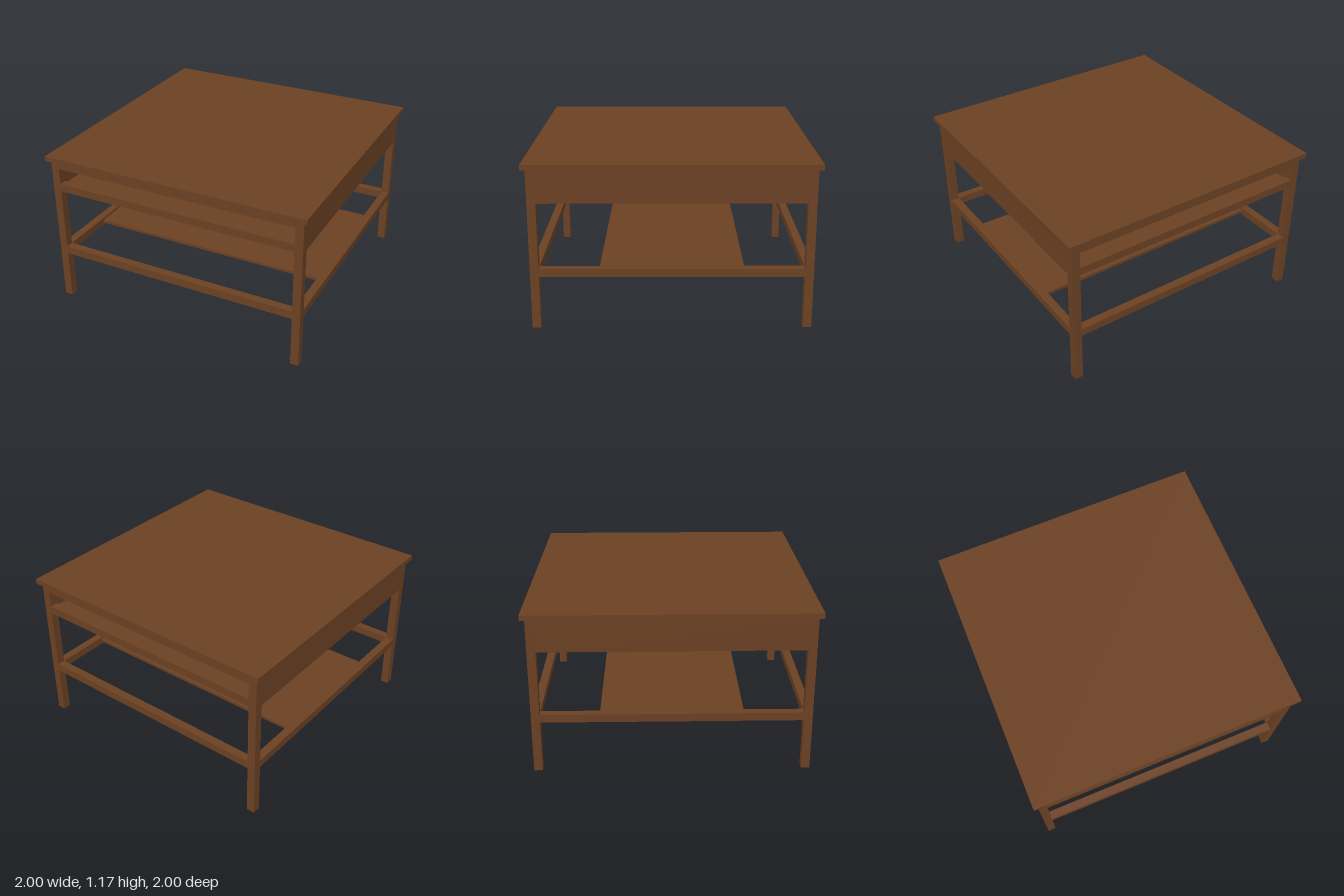
import * as THREE from 'three';

export function createModel() {
  const table = new THREE.Group();
  table.name = 'coffeeTable';
  const wood = new THREE.MeshStandardMaterial({ color: 0x6b4023 });

  // Box given by its size, its centre in x and z, and its lower edge
  const board = (name, w, h, d, x, bottom, z) => {
    const mesh = new THREE.Mesh(new THREE.BoxGeometry(w, h, d), wood);
    mesh.name = name;
    mesh.position.set(x, bottom + h / 2, z);
    table.add(mesh);
  };

  const leg = 0.06;      // leg and rail thickness
  const off = 0.94;      // leg centre line
  const span = 1.82;     // clear distance between legs
  const topY = 1.138;    // underside of the top

  board('tableTop', 2, 0.037, 2, 0, topY, 0);

  for (const s of [-1, 1]) {
    for (const t of [-1, 1]) board('leg', leg, topY, leg, s * off, 0, t * off);

    // Closed sides: deep apron and low stretcher
    board('sideApron', leg, topY - 0.902, span, s * off, 0.902, 0);
    board('sideStretcher', leg, 0.058, span, s * off, 0.377, 0);

    // Open front and back: three slim rails
    board('upperRail', span, 0.058, leg, 0, 1.08, s * off);
    board('middleRail', span, 0.058, leg, 0, 0.902, s * off);
    board('lowerStretcher', span, 0.058, leg, 0, 0.377, s * off);
  }

  // Shelf of the open compartment and narrower shelf between the stretchers
  board('compartmentShelf', span, 0.022, span, 0, 0.92, 0);
  board('lowerShelf', span, 0.022, 1, 0, 0.397, 0);

  return table;
}
